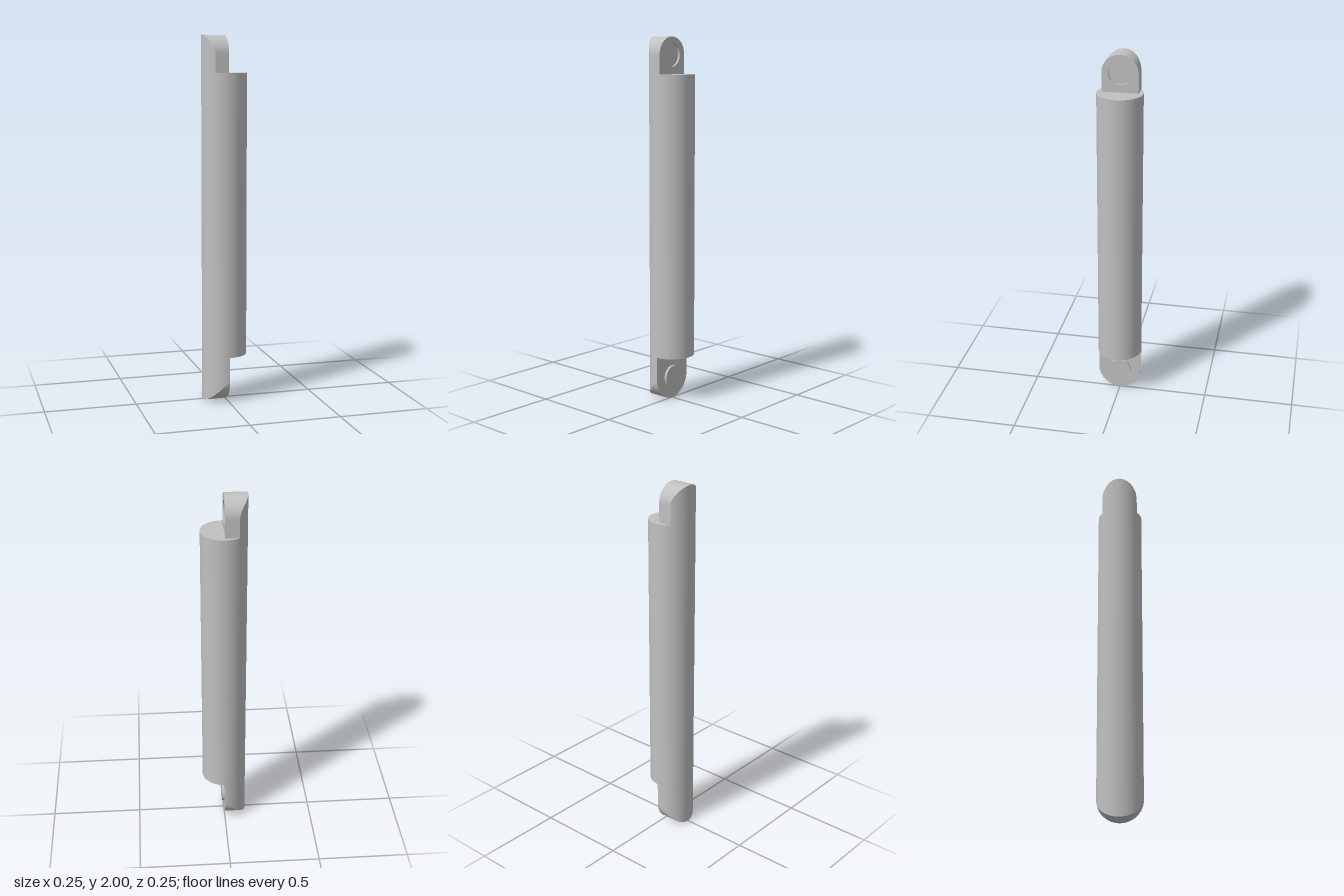
import * as THREE from 'three';
import { ParametricGeometry } from 'three/addons/geometries/ParametricGeometry.js';

const R = 0.123;        // rod radius
const BOTTOM = 0.255;   // lower shoulder
const TOP = 1.8;        // upper shoulder
const PIN = 0.062;      // pin and socket radius
const DEPTH = 0.014;    // pin height and socket depth

const metal = new THREE.MeshStandardMaterial({ color: 0xc0c0c0, side: THREE.DoubleSide });
metal.name = 'greyMetal';

function part(name, geometry) {
  const mesh = new THREE.Mesh(geometry, metal);
  mesh.name = name;
  return mesh;
}

// Depth of the round rod behind its middle plane at a given z
const back = (z) => -Math.sqrt(Math.max(0, R * R - z * z));

// Half-round tongue: flat inner face, rounded end, outer face following the rod
function tongue(name, base, centre, w, dir, hole) {
  const group = new THREE.Group();
  group.name = name;

  // Outline of the tongue: straight side, half circle, straight side
  const outline = (u) => {
    const t = (THREE.MathUtils.clamp((u - 0.1) / 0.8, 0, 1) - 0.5) * Math.PI;
    const z = -dir * w * Math.sin(t);
    let y = centre + dir * w * Math.cos(t);
    const straight = Math.max(0, 0.1 - u, u - 0.9) / 0.1;
    y += (base - y) * straight;
    return [z, y];
  };

  group.add(part(name + 'Edge', new ParametricGeometry((u, v, p) => {
    const [z, y] = outline(u);
    p.set(back(z) * v, y, z);
  }, 60, 1)));

  group.add(part(name + 'OuterFace', new ParametricGeometry((u, v, p) => {
    const [z, y] = outline(0.1 + 0.8 * u);
    p.set(back(z), y + (base - y) * v, z);
  }, 48, 1)));

  const points = [];
  for (let i = 0; i <= 60; i++) {
    const [z, y] = outline(i / 60);
    points.push(new THREE.Vector2(-z, y));
  }
  const shape = new THREE.Shape(points);
  if (hole) {
    const path = new THREE.Path();
    path.absarc(0, centre, PIN, 0, Math.PI * 2, true);
    shape.holes.push(path);
  }
  const face = new THREE.ShapeGeometry(shape, 24);
  face.rotateY(Math.PI / 2);
  group.add(part(name + 'InnerFace', face));
  return group;
}

export function createModel() {
  const model = new THREE.Group();
  model.name = 'lockingRod';

  const rod = part('rod', new THREE.CylinderGeometry(R, R, TOP - BOTTOM, 64));
  rod.position.y = (TOP + BOTTOM) / 2;
  model.add(rod);

  // Upper tongue with a blind round socket
  const topY = 1.902;
  const upper = tongue('upperTongue', TOP, topY, 0.098, 1, true);
  const wall = part('socketWall', new THREE.CylinderGeometry(PIN, PIN, DEPTH, 48, 1, true));
  wall.rotation.z = Math.PI / 2;
  wall.position.set(-DEPTH / 2, topY, 0);
  const floor = part('socketFloor', new THREE.CircleGeometry(PIN, 48));
  floor.rotation.y = Math.PI / 2;
  floor.position.set(-DEPTH, topY, 0);
  upper.add(wall, floor);
  model.add(upper);

  // Lower tongue with a matching raised pin
  const lowY = 0.1229;
  const lower = tongue('lowerTongue', BOTTOM, lowY, 0.1229, -1, false);
  const pin = part('pin', new THREE.CylinderGeometry(PIN, PIN, DEPTH, 48));
  pin.rotation.z = Math.PI / 2;
  pin.position.set(DEPTH / 2, lowY + 0.002, 0);
  lower.add(pin);
  model.add(lower);

  return model;
}
